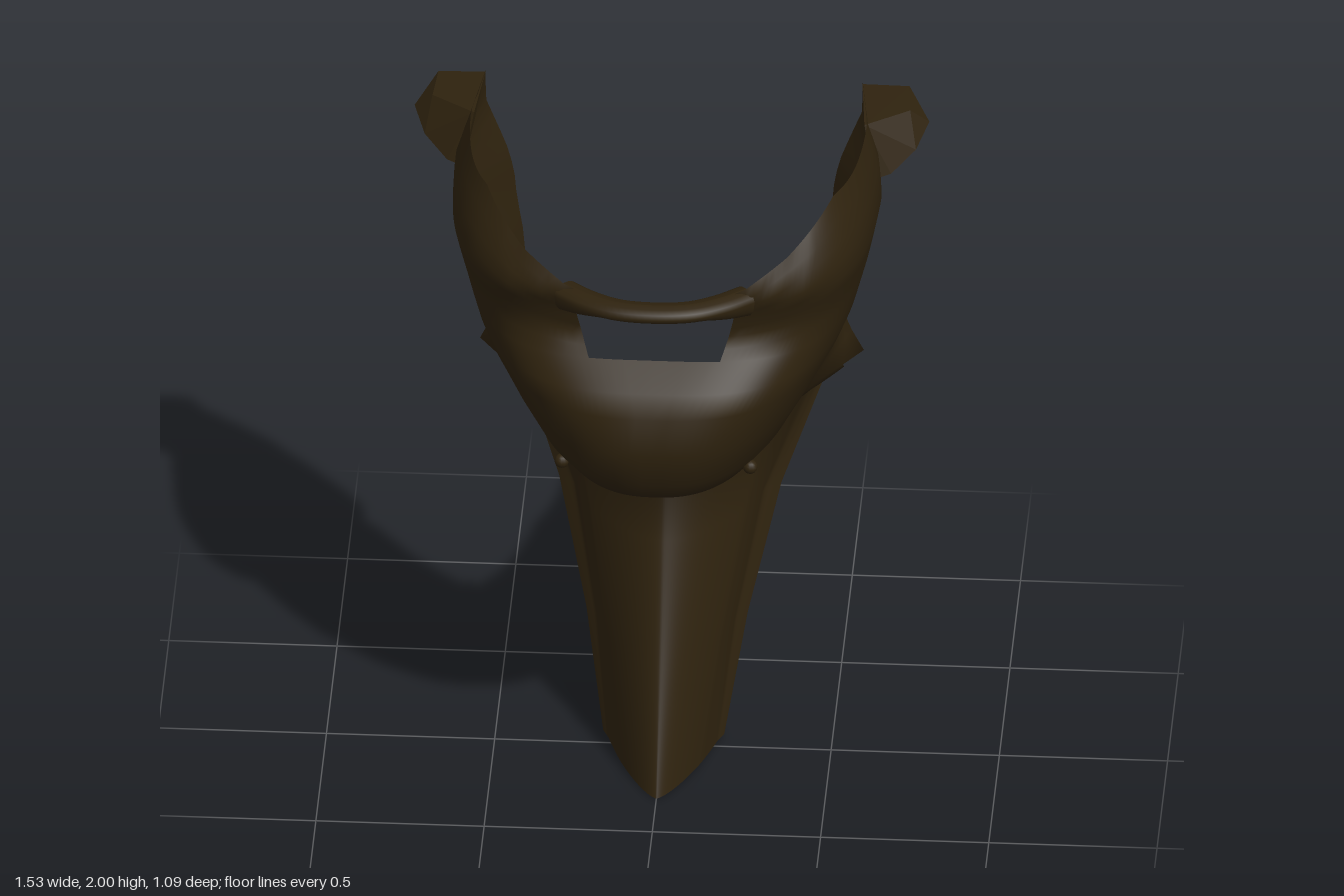
import * as THREE from 'three';
import { ConvexGeometry } from 'three/addons/geometries/ConvexGeometry.js';

const COLS = 88; // columns round each U-shaped section
const WINDOW = 4; // columns each side of centre left out above the sill
const SILL = 1.58;

// Sections: [y, half width, front z, back z, x power, z power, x of back edge, side wing]
const TROUGH = [
  [0, 0.18, 0.31, -0.04, 1.4, 1.05, 0.18, -0.005],
  [0.35, 0.24, 0.155, -0.2, 1.6, 1.1, 0.24, -0.02],
  [0.71, 0.33, 0.01, -0.35, 1.6, 1.1, 0.33, -0.03],
  [1.03, 0.465, -0.1, -0.52, 1.5, 1, 0.465, -0.01],
];
const BOWL = [
  [1.06, 0.42, 0.2, -0.53, 1.8, 1.6, 0.45, 0.08],
  [1.13, 0.38, 0.45, -0.54, 2.4, 2.4, 0.43, 0.16],
  [1.21, 0.43, 0.52, -0.54, 2.5, 2.5, 0.43, 0.11],
  [1.33, 0.495, 0.55, -0.54, 2.6, 2.6, 0.44, 0.03],
  [1.45, 0.56, 0.54, -0.54, 2.7, 2.7, 0.45, 0],
  [1.51, 0.58, 0.49, -0.54, 3, 3, 0.46, 0],
  [SILL, 0.595, 0.41, -0.54, 3.5, 3.5, 0.47, 0],
];
const WALL = [
  BOWL[BOWL.length - 1],
  [1.64, 0.61, 0.36, -0.54, 3.8, 3.8, 0.475, 0],
  [1.72, 0.625, 0.375, -0.53, 4, 4, 0.49, 0],
  [1.8, 0.64, 0.41, -0.53, 4, 4, 0.52, 0],
  [1.9, 0.63, 0.36, -0.53, 4, 4, 0.56, 0],
  [2.0, 0.59, 0.28, -0.53, 4, 4, 0.56, 0],
];

const angle = (j) => (j / COLS - 0.5) * Math.PI;

// Point on a section, from one back edge round the front to the other
function sectionPoint([y, w, front, back, px, pz, edge, wing], a) {
  const s = Math.pow(Math.abs(Math.sin(a)), 2 / px);
  const u = Math.pow(Math.abs(Math.cos(a)), 2 / pz);
  const tuck = (edge - w) * Math.max(0, 1 - u / 0.3);
  const bump = wing * (u < 0.11 ? u / 0.11 : Math.max(0, 1 - (u - 0.11) / 0.35));
  const lift = y === 0 ? 0.02 * (1 - u) : 0;
  return [Math.sign(Math.sin(a)) * (w * s + tuck + bump), y + lift, back + (front - back) * u];
}

// Blend the wall sections at any height
function wallAt(y) {
  let k = 0;
  while (k < WALL.length - 2 && y > WALL[k + 1][0]) k++;
  const t = (y - WALL[k][0]) / (WALL[k + 1][0] - WALL[k][0]);
  return WALL[k].map((v, i) => v + (WALL[k + 1][i] - v) * t);
}

// Height of the rim: low beside the window, then sloping up to the sides
function rimHeight(a) {
  const [x, , z] = sectionPoint(WALL[4], a);
  const t = z < 0.1 ? 1 : THREE.MathUtils.clamp((Math.abs(x) - 0.25) / 0.3, 0, 1);
  return 1.815 + 0.185 * t;
}

// Smooth sheet through rows of points, lowest row first
function sheet(rows, keep) {
  const n = COLS + 1;
  const index = [];
  for (let i = 0; i < rows.length - 1; i++) {
    for (let j = 0; j < COLS; j++) {
      if (!keep(i, j)) continue;
      const a = i * n + j, b = a + 1, c = b + n, d = a + n;
      index.push(a, b, c, a, c, d);
    }
  }
  const g = new THREE.BufferGeometry();
  g.setAttribute('position', new THREE.Float32BufferAttribute(rows.flat(2), 3));
  g.setIndex(index);
  g.computeVertexNormals();
  return g;
}

const rowOf = (fn) => Array.from({ length: COLS + 1 }, (_, j) => fn(angle(j)));

// Arched bar, flat on top and deepening below where it meets the walls
function barGeometry() {
  const half = [[0.27, 0.365], [0.2, 0.42], [0.11, 0.465]];
  const points = [
    ...half.map(([x, z]) => new THREE.Vector3(-x, 0, z)),
    new THREE.Vector3(0, 0, 0.478),
    ...half.reverse().map(([x, z]) => new THREE.Vector3(x, 0, z)),
  ];
  const g = new THREE.TubeGeometry(new THREE.CatmullRomCurve3(points), 32, 0.045, 12, false);
  const p = g.attributes.position;
  for (let i = 0; i < p.count; i++) {
    const deepen = p.getY(i) < 0 ? 1 + 10 * Math.max(0, Math.abs(p.getX(i)) - 0.15) : 1;
    p.setY(i, 1.787 + p.getY(i) * 0.6 * deepen);
  }
  g.computeVertexNormals();
  return g;
}

export function createModel() {
  const group = new THREE.Group();
  const brown = new THREE.MeshStandardMaterial({ color: 0x2e220e, side: THREE.DoubleSide });
  brown.name = 'dark brown';
  const add = (name, geometry) => {
    const mesh = new THREE.Mesh(geometry, brown);
    mesh.name = name;
    group.add(mesh);
    return mesh;
  };

  // One shell: tapering trough, bowl and side walls, with the front window left open
  const rows = [...TROUGH, ...BOWL].map((s) => rowOf((a) => sectionPoint(s, a)));
  const sillRow = rows.length - 1;
  const steps = 8;
  for (let k = 1; k <= steps; k++) {
    rows.push(rowOf((a) => {
      const y = SILL + ((rimHeight(a) - SILL) * k) / steps;
      return sectionPoint(wallAt(y), a);
    }));
  }
  const mid = COLS / 2;
  add('bowlAndTrough', sheet(rows, (i, j) =>
    i < sillRow || j < mid - WINDOW || j >= mid + WINDOW));

  add('windowBar', barGeometry());

  // Faceted knobs at the upper back corners and small studs under the bowl
  for (const side of [1, -1]) {
    const knob = [
      [0.56, 1.995, -0.525], [0.7, 1.99, -0.53], [0.765, 1.93, -0.43], [0.73, 1.88, -0.35],
      [0.66, 1.83, -0.29], [0.61, 1.82, -0.27], [0.58, 1.99, -0.3], [0.6, 1.82, -0.4],
      [0.67, 1.88, -0.48], [0.71, 1.985, -0.4],
    ].map(([x, y, z]) => new THREE.Vector3(x * side, y, z));
    add(side > 0 ? 'leftKnob' : 'rightKnob', new ConvexGeometry(knob));

    const stud = add(side > 0 ? 'leftStud' : 'rightStud', new THREE.SphereGeometry(0.022, 12, 8));
    stud.position.set(0.28 * side, 1.175, 0.33);
  }
  return group;
}
